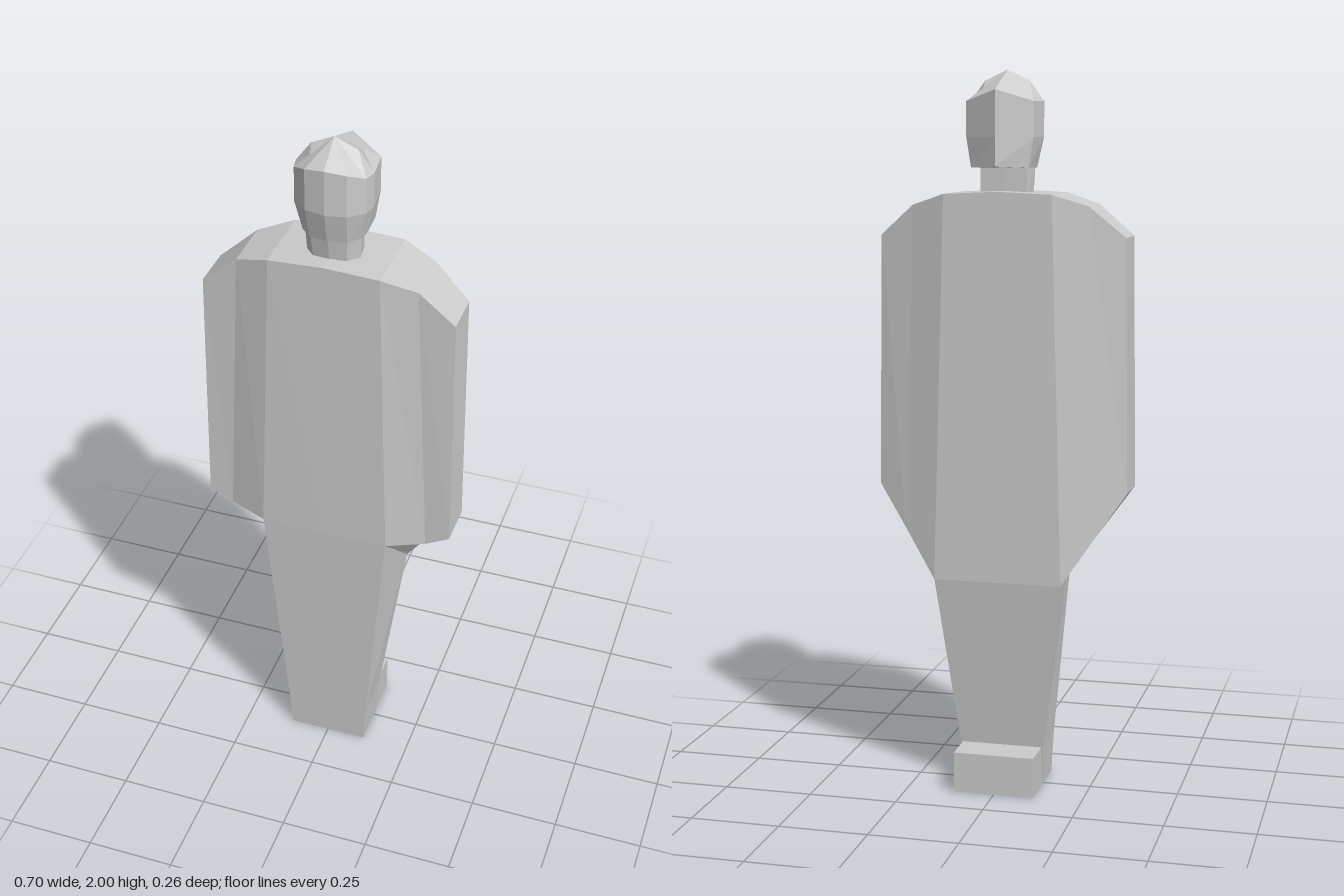
import * as THREE from 'three';

// Skin a list of equal-length [x, y, z] rings, with both ends closed, in flat facets.
function loft(rings) {
  const pos = [];
  const tri = (a, b, c) => pos.push(...a, ...b, ...c);
  const n = rings[0].length;
  for (let k = 0; k < rings.length - 1; k++) {
    const lo = rings[k], hi = rings[k + 1];
    for (let i = 0; i < n; i++) {
      const j = (i + 1) % n;
      tri(lo[i], lo[j], hi[j]);
      tri(lo[i], hi[j], hi[i]);
    }
  }
  const first = rings[0], last = rings[rings.length - 1];
  for (let i = 1; i < n - 1; i++) {
    tri(first[0], first[i + 1], first[i]);
    tri(last[0], last[i], last[i + 1]);
  }
  const g = new THREE.BufferGeometry();
  g.setAttribute('position', new THREE.Float32BufferAttribute(pos, 3));
  g.computeVertexNormals();
  return g;
}

// Mirror one half of a horizontal outline, given from front centre to back centre.
const mirrorRing = (half) => [
  ...half,
  ...half.slice(1, -1).reverse().map(([x, y, z]) => [-x, y, z]),
];

// Four-cornered ring: half width, front height and depth, back height and depth.
const quad = (w, yf, zf, yb, zb) => [[w, yf, zf], [w, yb, zb], [-w, yb, zb], [-w, yf, zf]];

export function createModel() {
  const model = new THREE.Group();
  const grey = new THREE.MeshStandardMaterial({ color: 0xcccccc });
  grey.flatShading = true;
  const add = (name, geometry) => {
    const mesh = new THREE.Mesh(geometry, grey);
    mesh.name = name;
    model.add(mesh);
    return mesh;
  };

  // Cloaked torso: slices across x, each top front, bottom front, bottom back, top back
  const right = [
    [[0, 1.675, 0.124], [0, 0.81, 0.132], [0, 0.6, -0.09], [0, 1.675, -0.086]],
    [[0.15, 1.668, 0.124], [0.18, 0.81, 0.13], [0.18, 0.6, -0.09], [0.15, 1.668, -0.086]],
    [[0.245, 1.637, 0.1], [0.285, 0.82, 0.096], [0.27, 0.735, -0.058], [0.245, 1.637, -0.055]],
    [[0.343, 1.553, 0.095], [0.352, 0.855, 0.095], [0.352, 0.855, -0.03], [0.343, 1.553, -0.03]],
  ];
  const left = right.slice(1).reverse().map((s) => s.map(([x, y, z]) => [-x, y, z]));
  add('torso', loft([...left, ...right]));

  // Joined legs, tapering to the ankles
  add('legs', loft([
    quad(0.114, 0, 0.105, 0, -0.02),
    quad(0.12, 0.115, 0.108, 0.115, -0.032),
    quad(0.18, 0.81, 0.13, 0.6, -0.09),
  ]));

  // Foot block
  const foot = add('foot', new THREE.BoxGeometry(0.228, 0.115, 0.235));
  foot.position.set(0, 0.0575, -0.0155);

  // Neck
  add('neck', loft([
    mirrorRing([[0, 1.665, 0.076], [0.045, 1.665, 0.07], [0.072, 1.665, 0.04], [0.065, 1.665, -0.01], [0, 1.665, -0.012]]),
    mirrorRing([[0, 1.75, 0.09], [0.05, 1.75, 0.08], [0.076, 1.75, 0.045], [0.065, 1.75, -0.01], [0, 1.75, -0.012]]),
  ]));

  // Head: jaw, cheek, brow and crown rings up to a peak
  const brow = [
    [0, 1.943, 0.113], [0.055, 1.935, 0.102], [0.094, 1.918, 0.07],
    [0.103, 1.915, 0.03], [0.093, 1.915, -0.055], [0, 1.945, -0.106],
  ];
  const jaw = [
    [0, 1.735, 0.093], [0.05, 1.735, 0.083], [0.076, 1.738, 0.06],
    [0.084, 1.738, 0.03], [0.08, 1.738, -0.055], [0, 1.742, -0.106],
  ];
  const cheek = brow.map(([x, , z]) => [x, 1.82, z]);
  const peak = [0, 2, 0.033];
  const crown = brow.map(([x, y, z], i) => [
    x * 0.6, 2 + (y - 2) * 0.6 + (i === 3 ? 0.022 : 0), peak[2] + (z - peak[2]) * 0.6,
  ]);
  add('head', loft([
    mirrorRing(jaw), mirrorRing(cheek), mirrorRing(brow), mirrorRing(crown),
    mirrorRing(brow.map(() => peak)),
  ]));

  return model;
}
